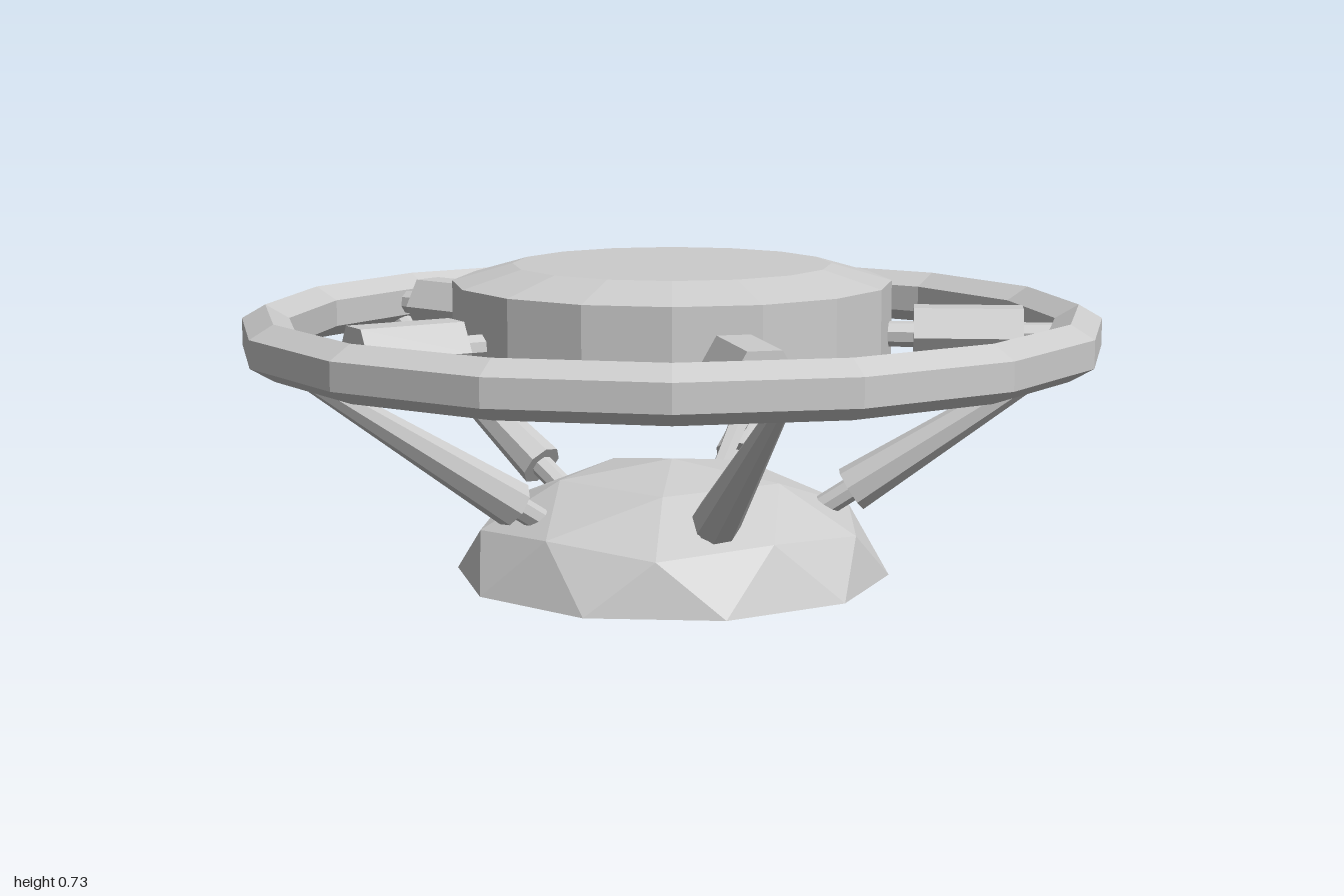
import * as THREE from 'three';

export function createModel() {
  const model = new THREE.Group();
  model.name = 'spokedStation';
  const grey = new THREE.MeshStandardMaterial({ color: 0xcccccc });
  grey.name = 'hullGrey';
  grey.flatShading = true;
  const shell = grey.clone();
  shell.side = THREE.DoubleSide;

  function add(parent, name, geometry, material = grey) {
    const mesh = new THREE.Mesh(geometry, material);
    mesh.name = name;
    parent.add(mesh);
    return mesh;
  }
  const lathe = (pts) => new THREE.LatheGeometry(pts.map(([r, y]) => new THREE.Vector2(r, y)), 16);

  // Tapered rod in a spoke's own plane, between [distance out, height] points
  const up = new THREE.Vector3(0, 1, 0);
  function rod(parent, name, a, b, ra, rb, sides) {
    const p = new THREE.Vector3(0, a[1], a[0]);
    const q = new THREE.Vector3(0, b[1], b[0]);
    const geometry = new THREE.CylinderGeometry(rb, ra, p.distanceTo(q), sides);
    geometry.rotateY(Math.PI / 6);
    const mesh = add(parent, name, geometry);
    mesh.position.copy(p).lerp(q, 0.5);
    mesh.quaternion.setFromUnitVectors(up, q.sub(p).normalize());
  }

  // Central drum with bevelled top and bottom
  add(model, 'hub', lathe([[0, 0.41], [0.37, 0.41], [0.51, 0.45], [0.51, 0.69], [0.37, 0.73], [0, 0.73]]));

  // Outer ring with a six-sided section
  const section = [];
  for (let i = 0; i <= 6; i++) {
    const a = (i - 0.5) * Math.PI / 3;
    section.push([0.945 + 0.0635 * Math.cos(a), 0.57 + 0.0635 * Math.sin(a)]);
  }
  add(model, 'outerRing', lathe(section));

  // Open faceted dome: half of a subdivided icosahedron, flattened
  const at = (polar, step) => {
    const az = Math.PI / 2 + step * Math.PI / 5;
    const r = 0.51 * Math.sin(polar);
    return [r * Math.sin(az), 0.27 * Math.cos(polar), r * Math.cos(az)];
  };
  const pole = [0, 0.27, 0];
  const upper = (k) => at(0.5536, 2 * k);
  const middle = (j) => at(j % 2 === 0 ? 1.1071 : 1.0172, j);
  const rim = (j) => at(Math.PI / 2, j + 0.5);
  const corners = [];
  const face = (...pts) => pts.forEach((p) => corners.push(...p));
  for (let k = 0; k < 5; k++) {
    face(pole, upper(k), upper(k + 1));
    face(upper(k), middle(2 * k + 9), middle(2 * k));
    face(upper(k), middle(2 * k), middle(2 * k + 1));
    face(upper(k), middle(2 * k + 1), upper(k + 1));
  }
  for (let j = 0; j < 10; j++) {
    face(middle(j), rim(j), middle(j + 1));
    face(middle(j + 1), rim(j), rim(j + 1));
  }
  const dome = new THREE.BufferGeometry();
  dome.setAttribute('position', new THREE.Float32BufferAttribute(corners, 3));
  dome.computeVertexNormals();
  add(model, 'baseDome', dome, shell);

  // Five spokes, each with a pod and a tapered strut down to the dome
  for (let i = 0; i < 5; i++) {
    const spoke = new THREE.Group();
    spoke.name = 'spoke' + (i + 1);
    spoke.rotation.y = Math.PI + i * Math.PI * 2 / 5;
    model.add(spoke);
    rod(spoke, 'spokeRod', [0.45, 0.57], [0.93, 0.57], 0.03, 0.03, 8);
    rod(spoke, 'spokePod', [0.56, 0.57], [0.81, 0.57], 0.075, 0.075, 6);
    rod(spoke, 'strut', [0.42, 0.203], [0.935, 0.54], 0.055, 0.02, 8);
    rod(spoke, 'strutFoot', [0.355, 0.161], [0.43, 0.21], 0.028, 0.028, 8);

    // The rear spoke also carries a docking cone and a feed pipe
    if (i === 0) {
      rod(spoke, 'dockingCone', [0.74, 0.57], [0.94, 0.597], 0.1, 0.03, 8);
      rod(spoke, 'feedPipeLower', [0.3, 0.19], [0.43, 0.285], 0.02, 0.025, 6);
      rod(spoke, 'feedPipeUpper', [0.425, 0.28], [0.6, 0.345], 0.025, 0.02, 6);
    }
  }
  return model;
}
